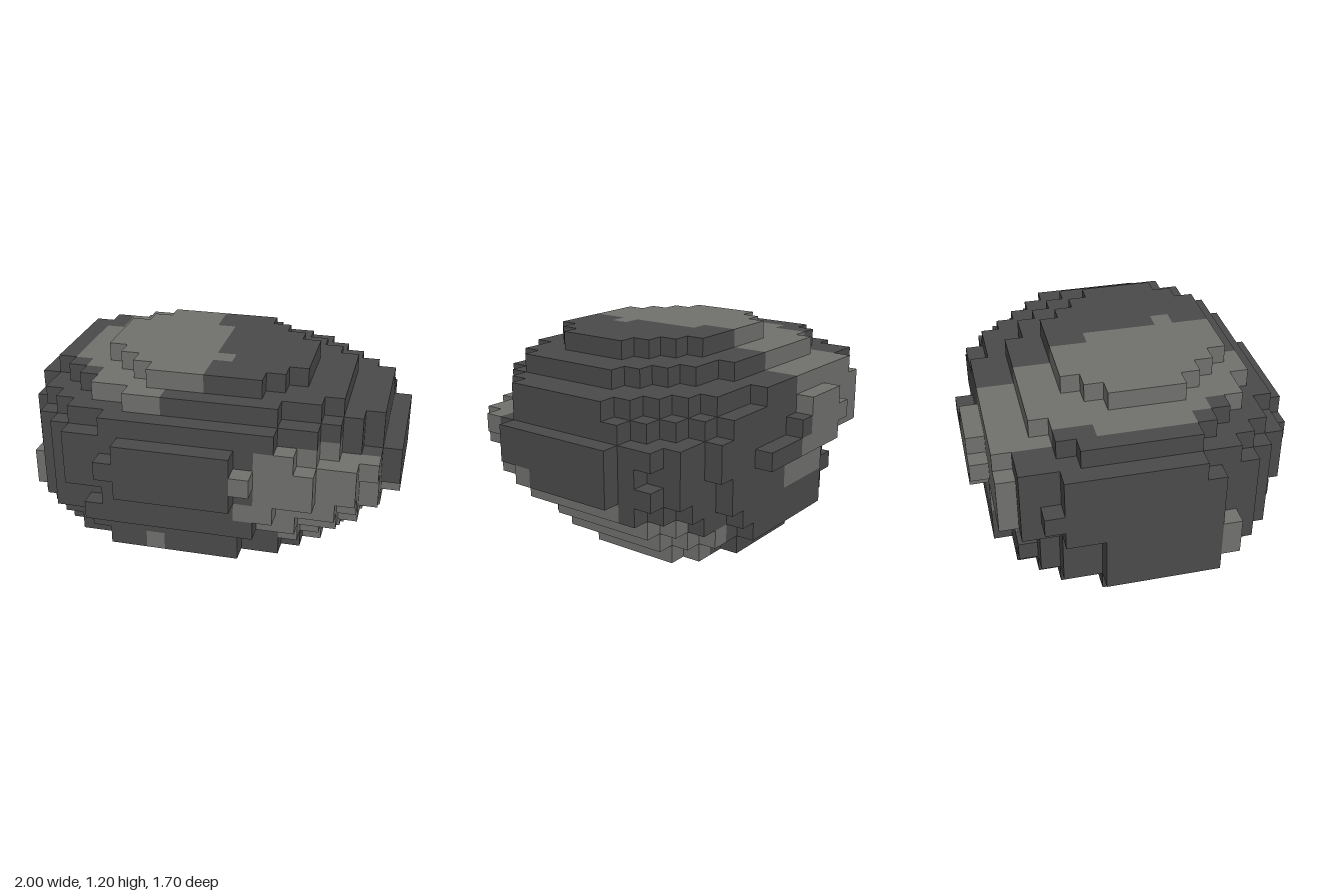
import * as THREE from 'three';
import { mergeGeometries } from 'three/addons/utils/BufferGeometryUtils.js';

const S = 0.1; // block size

// One outline per layer, bottom to top: x0, x1, z0, z1, roundness, skew
const LAYERS = [
  [-0.3, 0.2, -0.35, 0.05, 2.8, -0.05],
  [-0.7, 0.6, -0.65, 0.45, 2.1, -0.2],
  [-0.9, 0.7, -0.75, 0.65, 2.2, -0.12],
  [-1.0, 0.8, -0.75, 0.65, 2.3, -0.12],
  [-1.0, 0.9, -0.75, 0.75, 2.4, -0.12],
  [-1.0, 1.0, -0.75, 0.75, 2.5, -0.1],
  [-1.0, 1.0, -0.85, 0.85, 2.5, 0],
  [-1.0, 1.0, -0.85, 0.85, 2.8, 0],
  [-1.0, 0.9, -0.85, 0.85, 2.4, 0],
  [-1.0, 0.9, -0.75, 0.75, 2.5, 0.1],
  [-0.9, 0.7, -0.55, 0.65, 2.4, 0.17],
  [-0.6, 0.5, -0.35, 0.55, 2.2, 0.2],
];

// Widest reach of the rock on each side, row by row from back to front
const LEFT = [-0.5, -0.8, -0.9, -1, -1, -1, -1, -1, -1, -1, -1, -1, -0.9, -0.9, -0.8, -0.7, -0.5];
const RIGHT = [0.3, 0.6, 0.8, 0.9, 0.9, 1, 1, 1, 1, 1, 1, 1, 0.9, 0.9, 0.8, 0.6, 0.3];

// Thin slabs at the very back and front of the three widest layers: x0, x1
const BACK_SLAB = { 6: [-0.4, 0.3], 7: [-0.5, 0], 8: [-0.4, -0.1] };
const FRONT_SLAB = { 6: [-0.4, 0.2], 7: [-0.5, 0.3], 8: [-0.4, 0.2] };

// Small spur standing out of the right flank
const spur = (x, j, z) =>
  x < -0.9 && x > -1 && (j === 4 || j === 5) && Math.abs(z - 0.4) < 0.04;

// Is the block centred at (x, z) in layer j part of the rock?
function solid(x, j, z) {
  if (j < 0 || j >= LAYERS.length) return false;
  if (spur(x, j, z)) return true;
  const [x0, x1, z0, z1, n, skew] = LAYERS[j];
  if (x < x0 || x > x1 || z < z0 || z > z1) return false;
  if (Math.abs(z) > 0.75) {
    const [a, b] = (z < 0 ? BACK_SLAB : FRONT_SLAB)[j];
    return x > a && x < b;
  }
  const row = Math.round((z + 0.8) / S);
  if (x < LEFT[row] || x > RIGHT[row]) return false;
  const dz = z - (z0 + z1) / 2;
  const v = Math.abs(dz) / ((z1 - z0) / 2);
  const lean = j > 5 && j < 10 ? -0.11 * v * v : 0;
  const u = Math.abs(x - (x0 + x1) / 2 - skew * dz - lean) / ((x1 - x0) / 2);
  return u ** n + v ** n <= 1.001;
}

// Patches of paler stone
function pale(x, j, z) {
  // crown patch
  if (j >= 10) {
    const left = Math.abs(z) < 0.25 ? -0.8 : z > 0.32 ? -0.6 : -0.7;
    let right = z < -0.15 ? -0.1 : z > 0.22 && z < 0.35 ? 0.1 : 0;
    if (j === 10 && z > 0.55) right = -0.2;
    return x > left && x < right;
  }
  // patch running down the back
  if (z < -0.35 && j >= 4 && x < 0) {
    const left = z < -0.65 ? -0.8 : -0.7;
    if (x > left && x < (j >= 7 ? -0.1 : 0.1)) return true;
  }
  // band from the front corner down and around the left flank
  const zMin = [9, -0.55, -0.65, -0.55, -0.35, 0.15, 0.35, 0.45, 0.45, 9][j];
  const zMax = [0, 0.15, 0.35, 0.58, 0.9, 0.9, 0.9, 0.9, 0.9, 0][j];
  const xMin = j >= 4 ? (j === 5 || j === 7 ? 0.2 : 0.3) : j === 3 ? 0.4 : 0.45;
  if (z > zMin && z < zMax && x > xMin && !(j === 8 && x > 0.8)) return true;
  // small front spot low down
  if (j === 1 && z > 0.2 && x > -0.5 && x < -0.2) return true;
  if (j === 2 && z > 0.5 && x > -0.3 && x < -0.2) return true;
  return spur(x, j, z);
}

// Six block faces, each with its outward direction
function blockFaces() {
  const make = (dir, rx, ry) => {
    const geometry = new THREE.PlaneGeometry(S, S);
    geometry.rotateX(rx).rotateY(ry);
    geometry.translate(dir[0] * S / 2, dir[1] * S / 2, dir[2] * S / 2);
    return { dir, geometry };
  };
  const q = Math.PI / 2;
  return [
    make([0, 0, 1], 0, 0),
    make([0, 0, -1], 0, 2 * q),
    make([1, 0, 0], 0, q),
    make([-1, 0, 0], 0, -q),
    make([0, 1, 0], -q, 0),
    make([0, -1, 0], q, 0),
  ];
}

export function createModel() {
  const group = new THREE.Group();
  group.name = 'boulder';
  const darkStone = new THREE.MeshStandardMaterial({ color: 0x4a4a4a });
  darkStone.name = 'darkStone';
  const paleStone = new THREE.MeshStandardMaterial({ color: 0x70706d });
  paleStone.name = 'paleStone';

  // Collect only the exposed faces of the blocks
  const faces = blockFaces();
  const dark = [], light = [];
  for (let j = 0; j < LAYERS.length; j++) {
    for (let i = 0; i < 20; i++) {
      for (let k = 0; k < 17; k++) {
        const x = -0.95 + i * S, z = -0.8 + k * S;
        if (!solid(x, j, z)) continue;
        const list = pale(x, j, z) ? light : dark;
        for (const { dir, geometry } of faces) {
          if (solid(x + dir[0] * S, j + dir[1], z + dir[2] * S)) continue;
          list.push(geometry.clone().translate(x, (j + 0.5) * S, z));
        }
      }
    }
  }

  const body = new THREE.Mesh(mergeGeometries(dark), darkStone);
  body.name = 'rockBody';
  const patches = new THREE.Mesh(mergeGeometries(light), paleStone);
  patches.name = 'palePatches';
  group.add(body, patches);
  return group;
}
